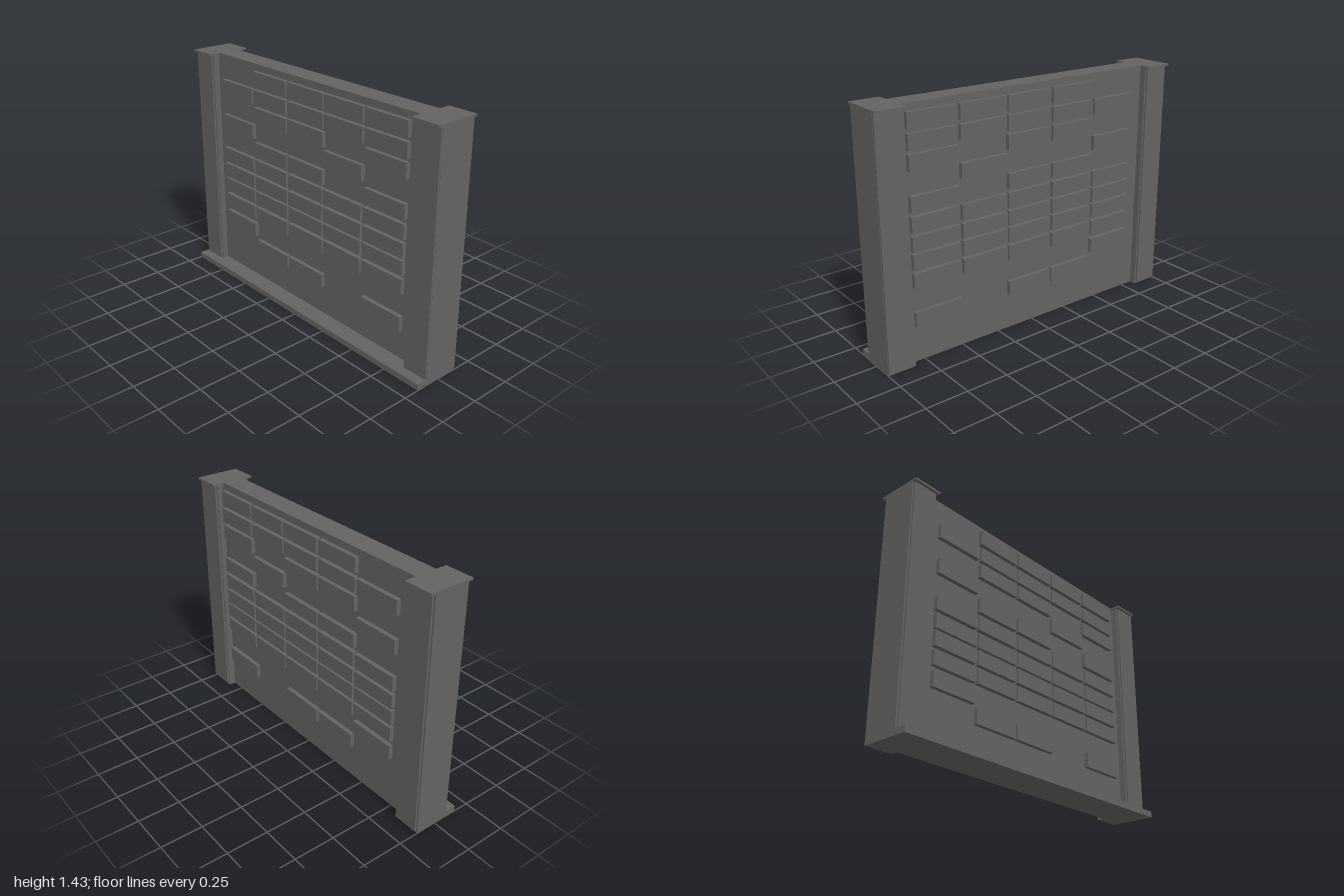
import * as THREE from 'three';

const material = new THREE.MeshStandardMaterial({ color: 0x636363, flatShading: true });

// Box given by its limits on each axis
function box(name, [x0, x1], [y0, y1], [z0, z1]) {
  const mesh = new THREE.Mesh(new THREE.BoxGeometry(x1 - x0, y1 - y0, z1 - z0), material);
  mesh.name = name;
  mesh.position.set((x0 + x1) / 2, (y0 + y1) / 2, (z0 + z1) / 2);
  return mesh;
}

const HEIGHT = 1.434;
const WALL = [-0.048, 0.087];
const BRICK = { length: 0.297, height: 0.088, depth: 0.026 };

// Centre of each brick column along z, and the brick rows as [centre height, columns]
const COLUMNS = [0.657, 0.344, 0.035, -0.278, -0.591];
const ROWS = [
  [1.349, [0, 1, 2, 3]],
  [1.239, [0, 1, 2, 3, 4]],
  [1.132, [0, 2, 3]],
  [1.029, [1]],
  [1.018, [4]],
  [0.911, [0, 2, 3]],
  [0.8, [0, 1, 2, 3, 4]],
  [0.693, [0, 1, 2, 3, 4]],
  [0.592, [0, 1, 2, 3, 4]],
  [0.485, [0, 1, 2, 3, 4]],
  [0.366, [4]],
  [0.259, [0, 2, 3]],
];

// Raised bricks on one face of the wall
function createBricks(name, xRange, shift) {
  const group = new THREE.Group();
  group.name = name;
  for (const [y, columns] of ROWS) {
    for (const c of columns) {
      const z = COLUMNS[c] + shift;
      group.add(box('brick', xRange,
        [y - BRICK.height / 2, y + BRICK.height / 2],
        [z - BRICK.length / 2, z + BRICK.length / 2]));
    }
  }
  return group;
}

// End pillar: core, slightly proud side panels and a thin overhanging cap
function createPillar(name, side, panelEnd) {
  const group = new THREE.Group();
  group.name = name;
  const span = (a, b) => (side > 0 ? [a, b] : [-b, -a]);
  group.add(
    box('pillarCore', [-0.087, 0.127], [0, HEIGHT], span(0.832, 1)),
    box('pillarPanel', [-0.097, 0.138], [0.012, HEIGHT - 0.008], span(0.842, panelEnd)),
    box('pillarCap', [-0.115, 0.156], [HEIGHT - 0.012, HEIGHT], span(0.826, 1)),
  );
  return group;
}

export function createModel() {
  const model = new THREE.Group();
  model.name = 'brickWall';
  model.add(
    box('wall', WALL, [0, HEIGHT], [-0.84, 0.84]),
    box('baseLedge', [-0.156, WALL[0]], [0, 0.036], [-1, 1]),
    createBricks('leftBricks', [WALL[1] - 0.01, WALL[1] + BRICK.depth], 0),
    createBricks('rightBricks', [WALL[0] - BRICK.depth, WALL[0] + 0.01], -0.031),
    createPillar('frontPillar', 1, 0.998),
    createPillar('backPillar', -1, 0.99),
  );
  return model;
}
